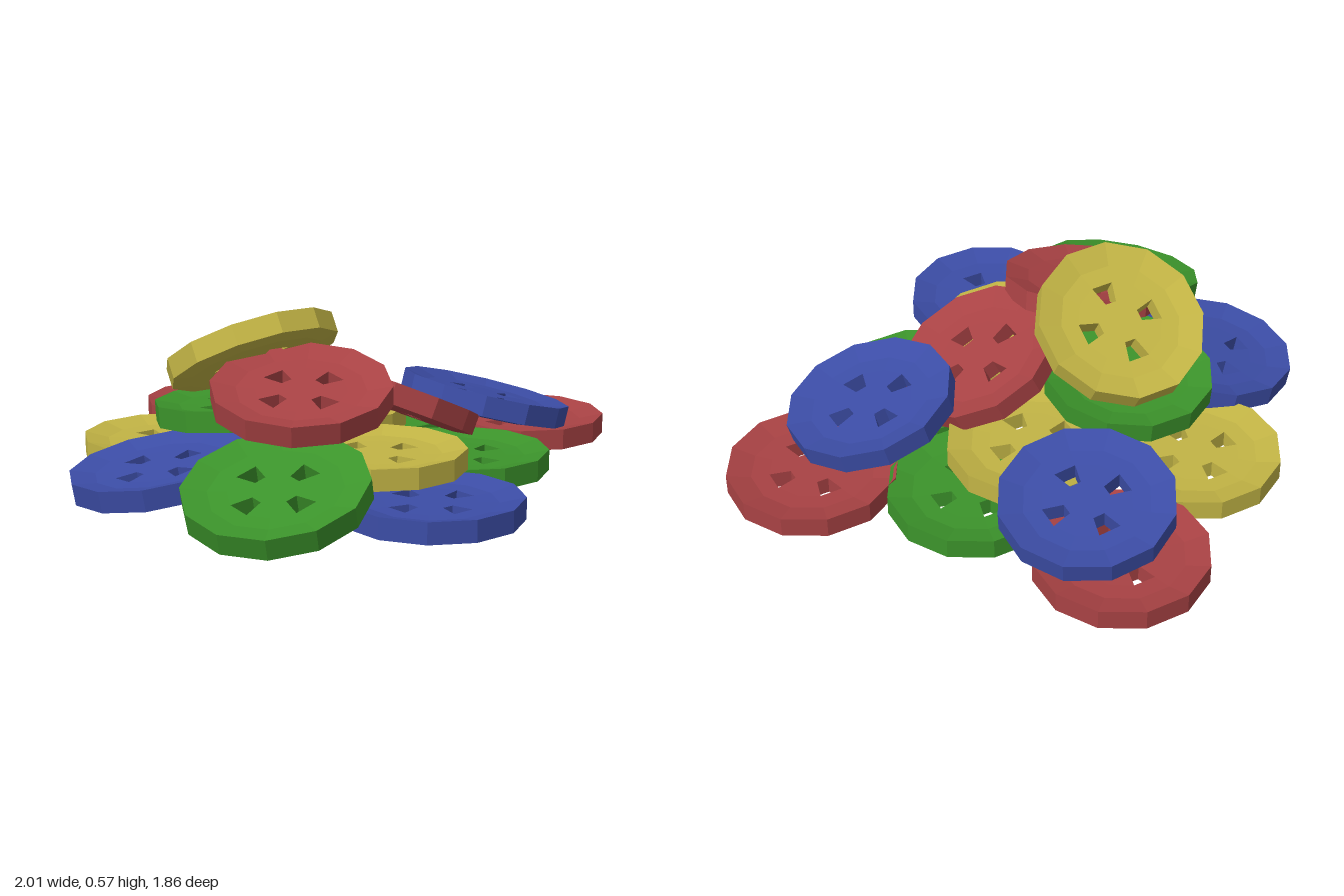
import * as THREE from 'three';

const SIDES = 12;
// Section from top centre, over the rim, to bottom centre: [radius, height]
const PROFILE = [
  [0, 0.016], [0.075, 0.016], [0.145, 0.016], [0.205, 0.018], [0.285, 0.037],
  [0.285, -0.032], [0.225, -0.042], [0.145, -0.042], [0.075, -0.042], [0, -0.042],
];
// Profile indices of the inner and outer hole edges, above and below
const IN_TOP = 1, OUT_TOP = 2, OUT_LOW = 7, IN_LOW = 8;

const COLORS = { red: 0xa84244, green: 0x3c942b, blue: 0x3c4da6, yellow: 0xc2b445 };

// Dished twelve-sided button with four wedge holes, one in every third segment
function buttonGeometry() {
  const positions = [];
  const point = (j, i) => {
    const a = (i / SIDES) * Math.PI * 2;
    const [r, y] = PROFILE[j];
    return [r * Math.cos(a), y, r * Math.sin(a)];
  };
  const quad = (a, b, c, d) => positions.push(...a, ...b, ...c, ...a, ...c, ...d);

  for (let i = 0; i < SIDES; i++) {
    const n = i + 1;
    const hole = i % 3 === 0;
    for (let j = 0; j < PROFILE.length - 1; j++) {
      if (hole && (j === IN_TOP || j === OUT_LOW)) continue;
      if (PROFILE[j][0] === 0) positions.push(...point(j, i), ...point(j + 1, n), ...point(j + 1, i));
      else if (PROFILE[j + 1][0] === 0) positions.push(...point(j, i), ...point(j, n), ...point(j + 1, i));
      else quad(point(j, i), point(j, n), point(j + 1, n), point(j + 1, i));
    }
    if (!hole) continue;
    // Four walls of the hole
    quad(point(IN_TOP, i), point(IN_TOP, n), point(IN_LOW, n), point(IN_LOW, i));
    quad(point(OUT_TOP, n), point(OUT_TOP, i), point(OUT_LOW, i), point(OUT_LOW, n));
    quad(point(IN_TOP, i), point(IN_LOW, i), point(OUT_LOW, i), point(OUT_TOP, i));
    quad(point(IN_TOP, n), point(OUT_TOP, n), point(OUT_LOW, n), point(IN_LOW, n));
  }
  const geometry = new THREE.BufferGeometry();
  geometry.setAttribute('position', new THREE.Float32BufferAttribute(positions, 3));
  geometry.computeVertexNormals();
  return geometry;
}

// Each button: name, colour, centre x, y, z, then its rise along x and along z
const BUTTONS = [
  // Bottom layer
  ['frontBlueButton', 'blue', -0.355, 0.07, 0.64, 0, 0],
  ['rightRedButton', 'red', 0.715, 0.07, 0.335, 0, 0],
  ['frontGreenButton', 'green', 0.17, 0.07, 0.425, 0, 0],
  ['sideGreenButton', 'green', 0.405, 0.07, -0.105, 0, 0],
  ['backRedButton', 'red', 0.287, 0.07, -0.65, 0, 0],
  ['backYellowButton', 'yellow', -0.24, 0.07, -0.48, 0, 0],
  ['centreRedButton', 'red', -0.25, 0.07, 0.08, 0, 0],
  ['sideBlueButton', 'blue', -0.64, 0.115, -0.18, 0.14, 0.1],
  // Middle layer
  ['middleFrontYellowButton', 'yellow', -0.2, 0.142, 0.34, 0, 0],
  ['middleBackYellowButton', 'yellow', 0.167, 0.145, -0.13, 0, 0],
  ['middleGreenButton', 'green', -0.225, 0.24, -0.18, 0, 0.09],
  // Leaning buttons on top
  ['leaningGreenButton', 'green', -0.727, 0.147, 0.338, 0.33, -0.1],
  ['leaningBackBlueButton', 'blue', 0.288, 0.2, -0.5, -0.13, 0.1],
  ['leaningFrontBlueButton', 'blue', 0.457, 0.208, 0.337, -0.22, -0.13],
  ['leaningCentreRedButton', 'red', 0.08, 0.268, 0.215, -0.42, -0.16],
  ['leaningSideRedButton', 'red', -0.385, 0.36, 0.18, 0.22, -0.14],
  ['topYellowButton', 'yellow', -0.23, 0.43, -0.13, -0.17, 0.55],
];

export function createModel() {
  const group = new THREE.Group();
  group.name = 'buttonPile';
  const geometry = buttonGeometry();
  const materials = {};
  for (const [name, color] of Object.entries(COLORS)) {
    materials[name] = new THREE.MeshStandardMaterial({ color, flatShading: true });
  }
  const up = new THREE.Vector3(0, 1, 0);
  for (const [name, color, x, y, z, riseX, riseZ] of BUTTONS) {
    const mesh = new THREE.Mesh(geometry, materials[color]);
    mesh.name = name;
    mesh.position.set(x, y, z);
    mesh.quaternion.setFromUnitVectors(up, new THREE.Vector3(-riseX, 1, -riseZ).normalize());
    group.add(mesh);
  }
  return group;
}
